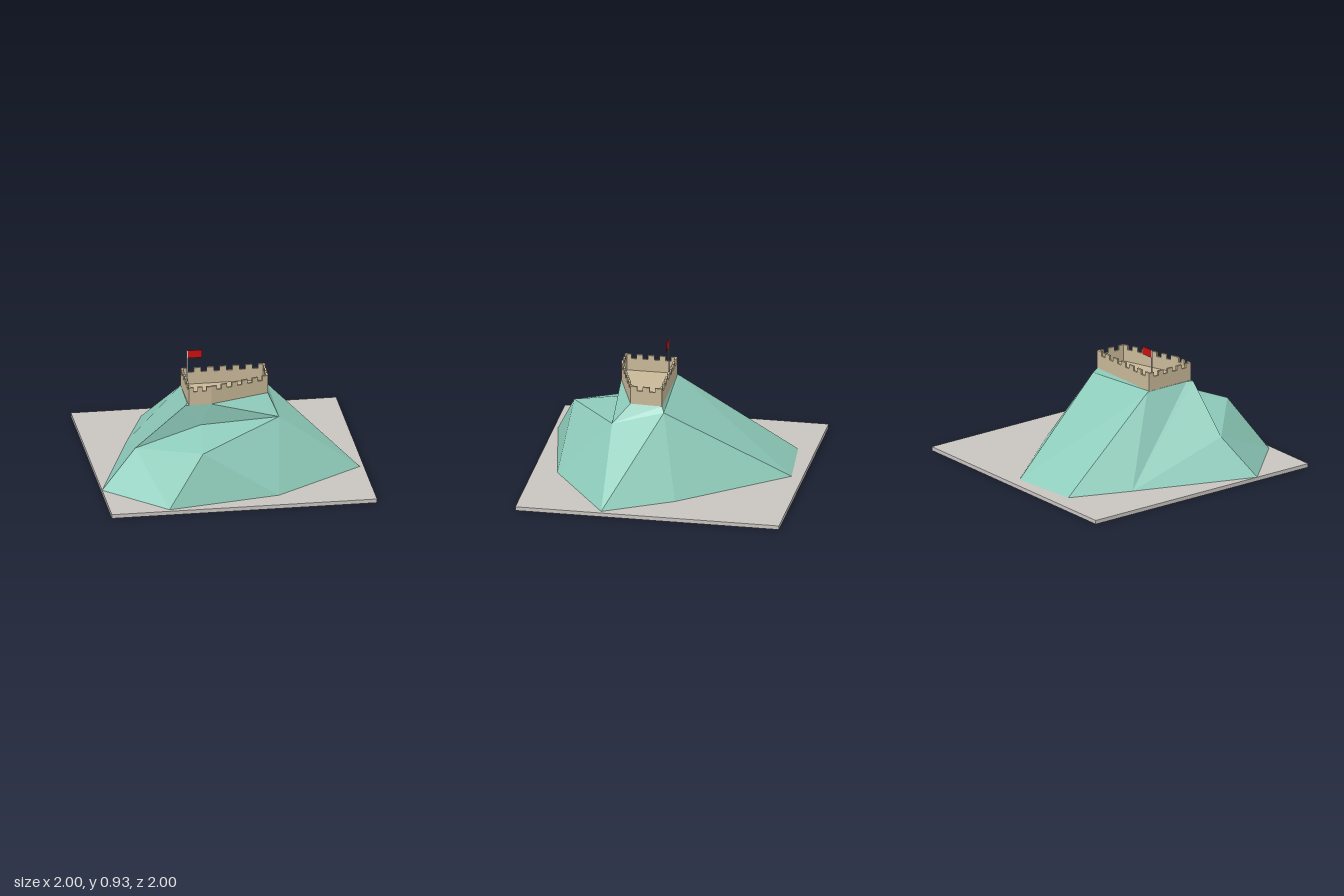
import * as THREE from 'three';

const material = (name, color) => {
  const m = new THREE.MeshStandardMaterial({ color });
  m.name = name;
  return m;
};

// Hill corners [x, y, z]
const P = {
  // foot
  A: [-1, 0.03, 0.52], B: [-0.56, 0.03, 0.97], C: [0.29, 0.03, 0.815], D: [0.97, 0.03, 0.355],
  E: [0.68, 0.03, -0.15], F: [0.04, 0.03, -0.915], G: [-0.49, 0.03, -0.865], H: [-0.67, 0.03, -0.4],
  // front terrace
  J: [-0.73, 0.3, 0.39], M: [-0.28, 0.39, 0.795], N: [-0.24, 0.465, 0.41], R: [0.355, 0.485, 0.388],
  // rear crest
  S: [0.33, 0.59, 0], Q: [-0.33, 0.62, 0],
  // plateau
  a: [-0.33, 0.63, 0.02], b: [0.3, 0.63, 0.02], c: [0.29, 0.63, 0.26], d: [-0.16, 0.63, 0.415],
  K: [-0.355, 0.63, 0.415], L: [-0.335, 0.63, 0.37],
};
const FACES = ('AJB BJM BMC CMR CRD DRS DSE ESF FSQ FQG GQH HQL HLK HKJ HJA ' +
  'JNM MNR JKN KdN NdR dcR Rcb RbS Sba SaQ QaL LKd Lda adc abc').split(' ');

// Faceted triangles, each turned to face away from the inside of the hill
function hillGeometry() {
  const inside = new THREE.Vector3(0, 0.03, 0.2);
  const points = [];
  for (const face of FACES) {
    const [p, q, r] = [...face].map((k) => new THREE.Vector3(...P[k]));
    const normal = q.clone().sub(p).cross(r.clone().sub(p));
    const outward = normal.dot(p.clone().sub(inside)) > 0;
    points.push(...(outward ? [p, q, r] : [p, r, q]));
  }
  const geometry = new THREE.BufferGeometry().setFromPoints(points);
  geometry.computeVertexNormals();
  return geometry;
}

// Wall with battlements, running from the origin along x
function wallGeometry(length, height, thickness) {
  const gaps = Math.max(2, Math.round(length / 0.1));
  const step = length / (gaps + 0.55);
  const low = height - 0.034;
  const shape = new THREE.Shape();
  shape.moveTo(0, 0);
  shape.lineTo(length, 0);
  shape.lineTo(length, height);
  for (let i = gaps - 1; i >= 0; i--) {
    const x0 = (i + 0.55) * step, x1 = (i + 1) * step;
    shape.lineTo(x1, height);
    shape.lineTo(x1, low);
    shape.lineTo(x0, low);
    shape.lineTo(x0, height);
  }
  shape.lineTo(0, height);
  shape.closePath();
  return new THREE.ExtrudeGeometry(shape, { depth: thickness, bevelEnabled: false });
}

export function createModel() {
  const grey = material('base grey', 0xc8c4c0);
  const green = material('hill green', 0x8ecbba);
  const stone = material('sandstone', 0xc8b898);
  const red = material('flag red', 0xc81010);
  green.flatShading = true;

  const model = new THREE.Group();
  model.name = 'hillFort';
  const add = (parent, name, geometry, mat, x = 0, y = 0, z = 0) => {
    const mesh = new THREE.Mesh(geometry, mat);
    mesh.name = name;
    mesh.position.set(x, y, z);
    parent.add(mesh);
    return mesh;
  };

  add(model, 'basePlate', new THREE.BoxGeometry(2, 0.03, 2), grey, 0, 0.015, 0);
  add(model, 'hill', hillGeometry(), green);

  // Five-sided castle: floor and a wall on each side
  const castle = new THREE.Group();
  castle.name = 'castle';
  castle.position.y = 0.63;
  model.add(castle);
  const plan = [[-0.33, 0.02], [0.305, 0.02], [0.293, 0.26], [-0.16, 0.415], [-0.33, 0.415]];
  const floor = new THREE.ExtrudeGeometry(
    new THREE.Shape(plan.map(([x, z]) => new THREE.Vector2(x, -z))),
    { depth: 0.012, bevelEnabled: false });
  floor.rotateX(-Math.PI / 2);
  add(castle, 'castleFloor', floor, stone);
  plan.forEach(([x, z], i) => {
    const [x2, z2] = plan[(i + 1) % plan.length];
    const geometry = wallGeometry(Math.hypot(x2 - x, z2 - z), 0.14, 0.016);
    add(castle, 'castleWall', geometry, stone, x, 0, z).rotation.y = Math.atan2(z - z2, x2 - x);
  });

  // Flag
  add(model, 'flagPole', new THREE.BoxGeometry(0.01, 0.295, 0.004), grey, -0.289, 0.7825, 0.077);
  add(model, 'flag', new THREE.BoxGeometry(0.104, 0.062, 0.004), red, -0.232, 0.9, 0.077);
  return model;
}
